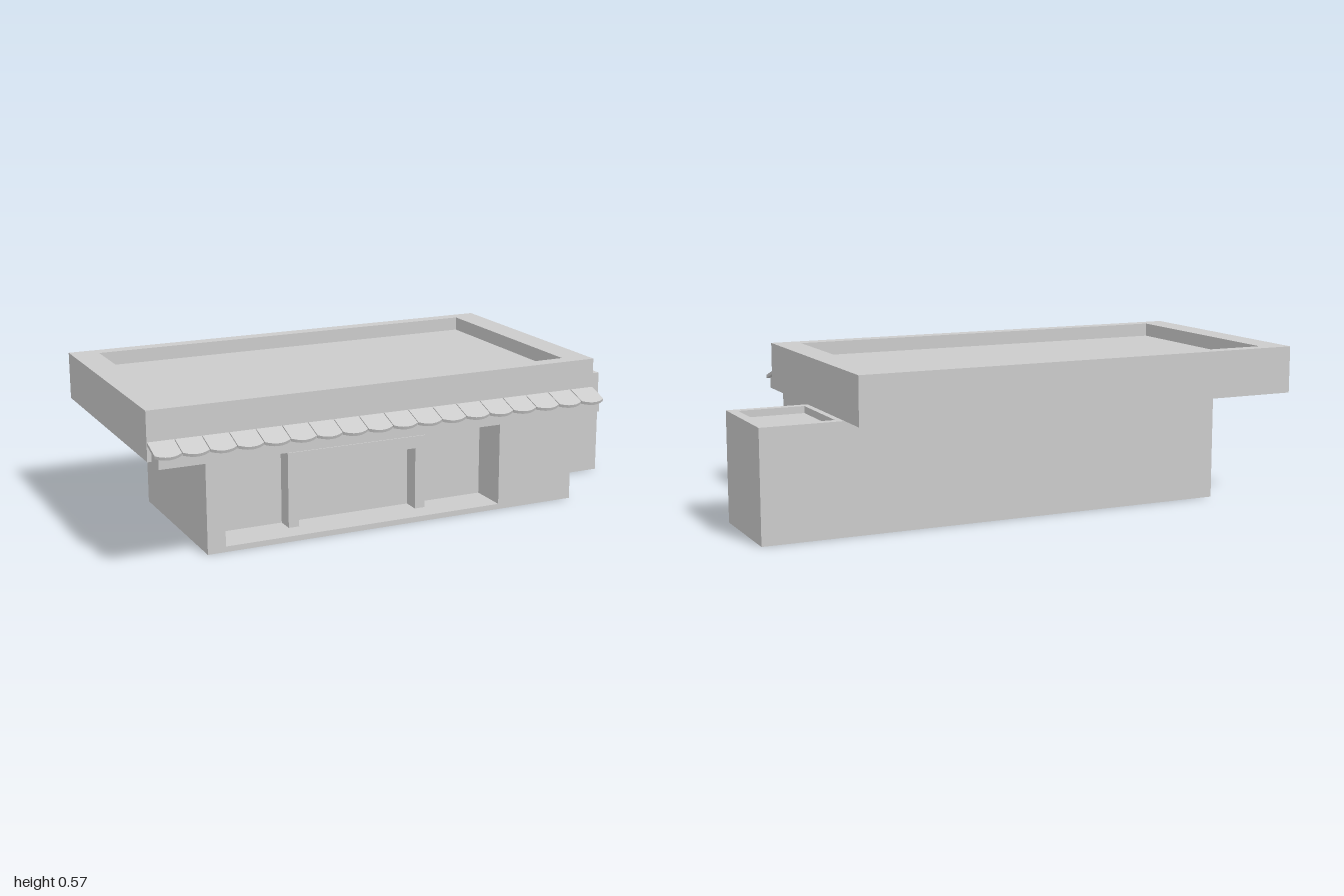
import * as THREE from 'three';

const material = new THREE.MeshStandardMaterial({ color: 0xcccccc, flatShading: true, side: THREE.DoubleSide });

function add(parent, name, geometry) {
  const mesh = new THREE.Mesh(geometry, material);
  mesh.name = name;
  parent.add(mesh);
  return mesh;
}

const rect = (x0, x1, y0, y1) => [[x0, y0], [x1, y0], [x1, y1], [x0, y1]];
const toPoints = (pts) => pts.map(([x, y]) => new THREE.Vector2(x, y));

// Flat panel at a given depth, with optional holes
function panel(outline, depth, holes = []) {
  const shape = new THREE.Shape(toPoints(outline));
  holes.forEach((h) => shape.holes.push(new THREE.Path(toPoints(h))));
  return new THREE.ShapeGeometry(shape).translate(0, 0, depth);
}

// Wall band that follows an outline between two depths
function band(outline, from, to, closed = true) {
  const pos = [];
  const count = closed ? outline.length : outline.length - 1;
  for (let i = 0; i < count; i++) {
    const [ax, ay] = outline[i];
    const [bx, by] = outline[(i + 1) % outline.length];
    pos.push(ax, ay, from, bx, by, from, bx, by, to, ax, ay, from, bx, by, to, ax, ay, to);
  }
  const geometry = new THREE.BufferGeometry();
  geometry.setAttribute('position', new THREE.Float32BufferAttribute(pos, 3));
  geometry.computeVertexNormals();
  return geometry;
}

export function createModel() {
  const model = new THREE.Group();
  model.name = 'shopBuilding';
  model.rotation.y = -0.024;

  // Plan group: outlines are (x, -z) and depth is height
  const plan = new THREE.Group();
  plan.name = 'wallsAndRoof';
  plan.rotation.x = -Math.PI / 2;
  model.add(plan);

  const wallTop = 0.396, roofTop = 0.567, front = 0.283;

  // Hollow outer walls: open bottom, shop front left out
  add(plan, 'outerWalls', band(
    [[-0.749, -front], [-0.749, 0.363], [0.99, 0.363], [0.99, -0.011], [0.695, -0.011], [0.695, -front]],
    0, wallTop, false));

  // Flat roof with a sunken tray
  const roof = rect(-0.99, 0.695, -0.412, 0.497);
  const tray = rect(-0.89, 0.597, -0.356, 0.445);
  add(plan, 'roofUnderside', panel(roof, wallTop));
  add(plan, 'roofSides', band(roof, wallTop, roofTop));
  add(plan, 'roofRim', panel(roof, roofTop, [tray]));
  add(plan, 'roofTraySides', band(tray, roofTop - 0.05, roofTop));
  add(plan, 'roofTrayFloor', panel(tray, roofTop - 0.05));

  // Side annex top with a shallow tray
  const annexTray = rect(0.717, 0.955, 0.02, 0.33);
  add(plan, 'annexRim', panel(rect(0.695, 0.99, -0.011, 0.363), wallTop, [annexTray]));
  add(plan, 'annexTraySides', band(annexTray, wallTop - 0.025, wallTop));
  add(plan, 'annexTrayFloor', panel(annexTray, wallTop - 0.025));

  // Shop front with a deep recess
  const recess = rect(-0.683, 0.387, 0.02, 0.375);
  const back = front - 0.15;
  add(model, 'frontWall', panel(rect(-0.749, 0.695, 0, wallTop), front, [recess]));
  add(model, 'recessSides', band(recess, back, front));
  add(model, 'recessBack', panel(
    [[-0.683, 0.02], [-0.415, 0.02], [-0.415, 0.295], [0.125, 0.295],
      [0.125, 0.02], [0.387, 0.02], [0.387, 0.375], [-0.683, 0.375]], back));

  // Door frame, hollow from behind
  const frame = [[-0.415, 0.02], [-0.415, 0.295], [0.125, 0.295], [0.125, 0.02],
    [0.085, 0.02], [0.085, 0.25], [-0.375, 0.25], [-0.375, 0.02]];
  add(model, 'doorPanel', panel(rect(-0.375, 0.085, 0.02, 0.25), back));
  add(model, 'doorFrameFace', panel(frame, back + 0.065));
  add(model, 'doorFrameSides', band(frame, back, back + 0.065));

  // Beam under the awning
  add(model, 'awningBeam', new THREE.BoxGeometry(1.655, 0.042, 0.093)).position.set(-0.148, 0.409, 0.4365);

  // Row of sloping tiles with rounded lower edges
  const awning = new THREE.Group();
  awning.name = 'awning';
  model.add(awning);
  const count = 18, pitch = 1.685 / count, half = pitch / 2 - 0.0015;
  const tile = new THREE.Shape();
  tile.moveTo(-half, 0);
  tile.lineTo(half, 0);
  tile.lineTo(half, 0.08);
  tile.quadraticCurveTo(0, 0.112, -half, 0.08);
  const tileGeometry = new THREE.ExtrudeGeometry(tile, { depth: 0.011, bevelEnabled: false, curveSegments: 6 })
    .rotateX(Math.PI / 2 + 0.33);
  for (let i = 0; i < count; i++) {
    add(awning, 'awningTile', tileGeometry).position.set(-0.99 + (i + 0.5) * pitch, 0.462, 0.412);
  }

  return model;
}
